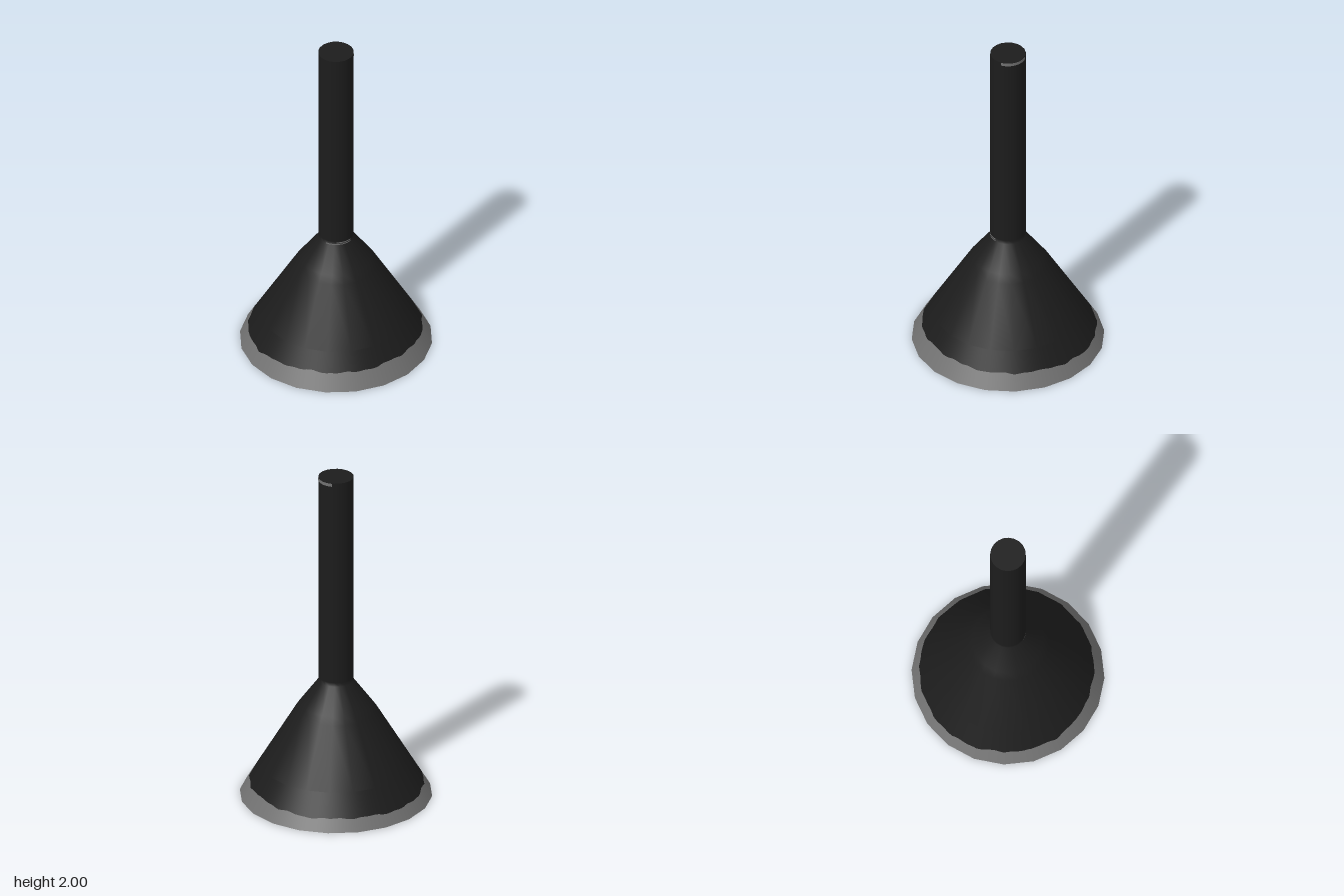
import * as THREE from 'three';

const SIDES = 20;
const black = new THREE.MeshStandardMaterial({ color: 0x1c1c1c });
black.name = 'black';
const grey = new THREE.MeshStandardMaterial({ color: 0x717171 });
grey.name = 'worn grey';
const pale = new THREE.MeshStandardMaterial({ color: 0xe0e0e0 });
pale.name = 'pale lining';

const BASE_R = 0.553, SLOPE = 0.596;
const coneR = (y) => BASE_R - SLOPE * y;

// Ragged height of the paint edge around the bell
const paintEdge = (a) =>
  0.083 + 0.016 * Math.cos(a) + 0.003 * Math.sin(5 * a) + 0.003 * Math.sin(13 * a) + 0.002 * Math.sin(29 * a);

// Radius factor that puts a point at angle a on a regular polygon
function polygonFactor(a) {
  const step = (2 * Math.PI) / SIDES;
  const t = (((a % step) + step) % step) - step / 2;
  return Math.cos(step / 2) / Math.cos(t);
}

function createLathe(name, points, material, segments = SIDES, start = 0, length = Math.PI * 2) {
  const profile = points.map(([r, y]) => new THREE.Vector2(r, y));
  const mesh = new THREE.Mesh(new THREE.LatheGeometry(profile, segments, start, length), material);
  mesh.name = name;
  return mesh;
}

// Finely divided cone band whose marked edge follows the paint line
function createPaintBand(name, points, edgeIndex, material) {
  const mesh = createLathe(name, points, material, SIDES * 8);
  const pos = mesh.geometry.attributes.position;
  for (let i = 0; i < pos.count; i++) {
    const a = Math.atan2(pos.getX(i), pos.getZ(i));
    const y = i % points.length === edgeIndex ? paintEdge(a) : pos.getY(i);
    const r = coneR(y) * polygonFactor(a);
    pos.setXYZ(i, Math.sin(a) * r, y, Math.cos(a) * r);
  }
  return mesh;
}

export function createModel() {
  const model = new THREE.Group();

  model.add(
    // Bell: worn lower band, ragged paint edge, then the black cone flowing into the stem
    createPaintBand('wornBand', [[coneR(0), 0], [coneR(0.09), 0.09]], 1, grey),
    createPaintBand('paintedBand', [[coneR(0.09), 0.09], [coneR(0.2), 0.2]], 0, black),
    createLathe('bellAndStem', [
      [coneR(0.2), 0.2], [coneR(0.53), 0.53], [0.205, 0.575], [0.102, 0.715], [0.102, 0.74], [0.102, 2]
    ], black),
    createLathe('stemTop', [[0.102, 2], [0, 2]], black),

    // Hollow underside
    createLathe('bottomRim', [[0.413, 0], [BASE_R, 0]], pale),
    createLathe('lining', [[0.275, 0.33], [0.413, 0]], pale),
    createLathe('liningCeiling', [[0, 0.33], [0.275, 0.33]], pale),

    // Scuffs where the paint has worn through
    createLathe('topScuff', [[0.1035, 1.98], [0.1035, 1.999]], grey, 6, Math.PI / 2 - 0.8, 1.6),
    createLathe('neckScuffUpper', [[0.1035, 0.729], [0.1035, 0.736]], grey, 4, -0.5, 0.9),
    createLathe('neckScuffLower', [[0.1035, 0.718], [0.1035, 0.725]], grey, 6, -1.1, 1.5)
  );
  return model;
}
